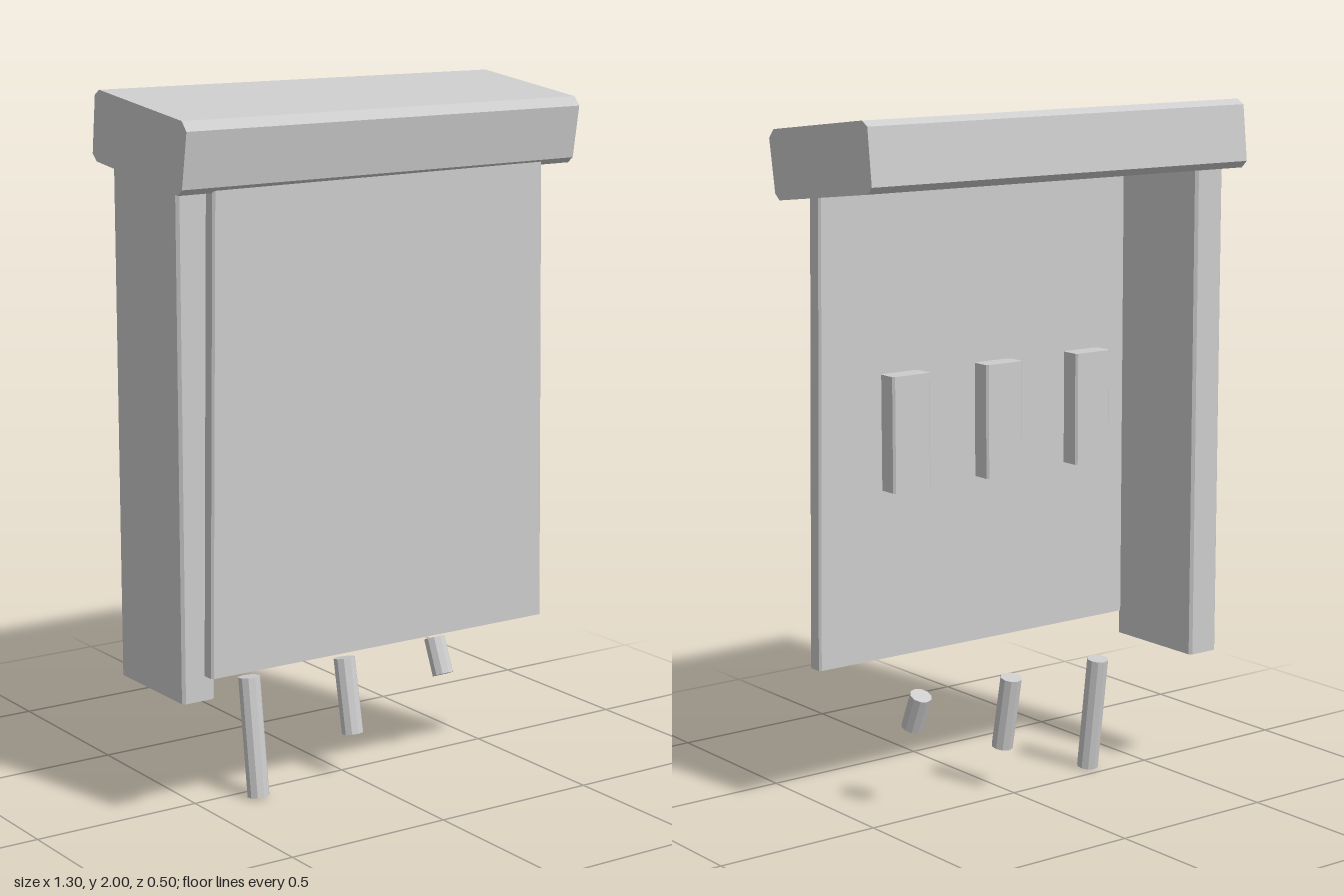
import * as THREE from 'three';

const grey = new THREE.MeshStandardMaterial({ color: 0xcccccc });
grey.name = 'plain grey';

// Move every vertex by a rule, then refresh the flat normals
function warp(geometry, rule) {
  const pos = geometry.attributes.position;
  const v = new THREE.Vector3();
  for (let i = 0; i < pos.count; i++) {
    rule(v.fromBufferAttribute(pos, i));
    pos.setXYZ(i, v.x, v.y, v.z);
  }
  geometry.computeVertexNormals();
  return geometry;
}

// Upright slab with its four vertical edges chamfered
function slab(x0, x1, y0, y1, z0, z1, c) {
  const shape = new THREE.Shape([
    [x0 + c, -z1], [x1 - c, -z1], [x1, -z1 + c], [x1, -z0 - c],
    [x1 - c, -z0], [x0 + c, -z0], [x0, -z0 - c], [x0, -z1 + c],
  ].map(([x, y]) => new THREE.Vector2(x, y)));
  return new THREE.ExtrudeGeometry(shape, { depth: y1 - y0, bevelEnabled: false })
    .rotateX(-Math.PI / 2)
    .translate(0, y0, 0);
}

export function createModel() {
  const model = new THREE.Group();
  model.name = 'keyHolderShelf';
  const add = (name, geometry) => {
    const mesh = new THREE.Mesh(geometry, grey);
    mesh.name = name;
    model.add(mesh);
    return mesh;
  };

  // Tilted top cap, chamfered along its length and slightly smaller at its left end
  const profile = new THREE.Shape([
    [0.2, 1.755], [0.222, 1.772], [0.248, 1.925], [0.225, 1.951],
    [-0.206, 2.0], [-0.23, 1.985], [-0.248, 1.825], [-0.227, 1.805],
  ].reverse().map(([z, y]) => new THREE.Vector2(z, y)));
  const cap = new THREE.ExtrudeGeometry(profile, { depth: 1.3, bevelEnabled: false })
    .rotateY(-Math.PI / 2)
    .translate(0.65, 0, 0);
  add('topCap', warp(cap, (v) => {
    const s = 1 - 0.03 * (v.x + 0.65) / 1.3;
    v.z *= s;
    v.y = 1.88 + (v.y - 1.88) * s;
  }));

  // Front panel, a little wider at the foot
  const panel = slab(-0.567, 0.567, 0.435, 1.78, 0.157, 0.208, 0.006);
  add('frontPanel', warp(panel, (v) => {
    v.x *= 1 - 0.037 * (v.y - 0.435) / 1.345;
  }));

  // Deep board on the right side
  add('sideBoard', slab(-0.635, -0.533, 0.365, 1.82, -0.166, 0.17, 0.008));

  // Three blocks behind the panel and three leaning pegs below it
  const pegs = [
    { x: -0.325, bottom: [0.008, 0.058], top: [0.35, 0.013] },
    { x: 0, bottom: [0.133, 0.056], top: [0.35, 0.013] },
    { x: 0.325, bottom: [0.253, 0.054], top: [0.355, 0.01] },
  ];
  const up = new THREE.Vector3(0, 1, 0);
  for (const { x, bottom, top } of pegs) {
    add('backBlock', slab(x - 0.064, x + 0.064, 0.94, 1.268, 0.04, 0.104, 0.006));

    const a = new THREE.Vector3(x, ...bottom);
    const b = new THREE.Vector3(x, ...top);
    const axis = b.clone().sub(a);
    const geometry = new THREE.CylinderGeometry(0.032, 0.032, axis.length(), 10).toNonIndexed();
    geometry.computeVertexNormals();
    const peg = add('peg', geometry);
    peg.position.copy(a).add(b).multiplyScalar(0.5);
    peg.quaternion.setFromUnitVectors(up, axis.normalize());
  }

  return model;
}
